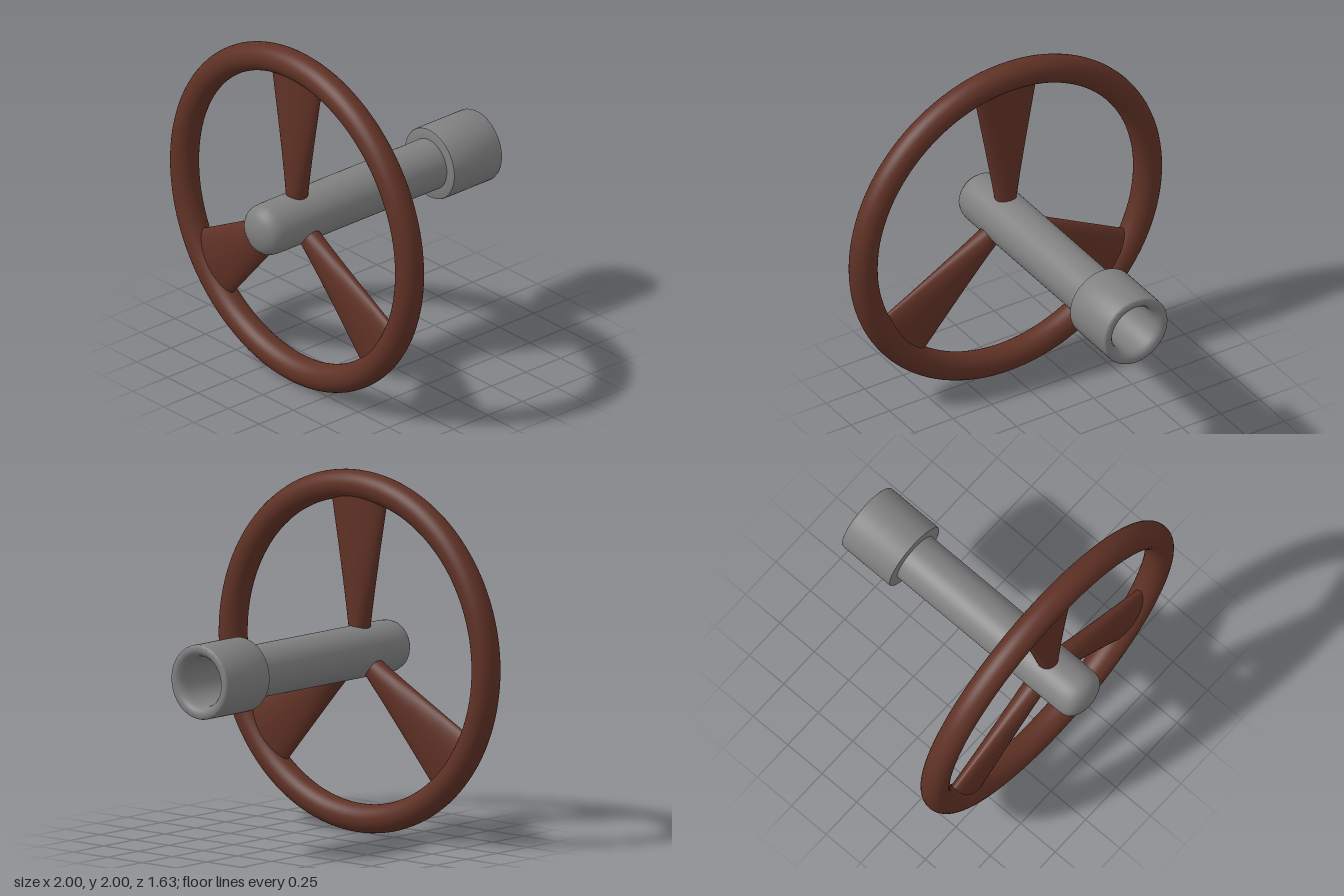
import * as THREE from 'three';
import { toCreasedNormals } from 'three/addons/utils/BufferGeometryUtils.js';

const brown = new THREE.MeshStandardMaterial({ color: 0x5f3125 });
brown.name = 'brown';
const grey = new THREE.MeshStandardMaterial({ color: 0x808080 });
grey.name = 'grey';

const HUB_Y = 1;
const WHEEL_Z = 0.5;

function addMesh(parent, name, geometry, material) {
  const mesh = new THREE.Mesh(geometry, material);
  mesh.name = name;
  parent.add(mesh);
  return mesh;
}

// Turned part along z from [radius, z] pairs
function turned(profile) {
  const points = profile.map(([r, z]) => new THREE.Vector2(r, z));
  const geometry = new THREE.LatheGeometry(points, 64);
  geometry.rotateX(Math.PI / 2);
  return toCreasedNormals(geometry, 0.7);
}

// Spoke with a rounded flat section that widens from hub to rim
function spokeGeometry() {
  const inner = 0.1, outer = 0.9;
  const geometry = new THREE.CylinderGeometry(1, 1, 1, 48, 4, true);
  const pos = geometry.attributes.position;
  for (let i = 0; i < pos.count; i++) {
    const t = pos.getY(i) + 0.5;
    const halfWidth = THREE.MathUtils.lerp(0.053, 0.208, t);
    const halfDepth = THREE.MathUtils.lerp(0.062, 0.05, t);
    pos.setXYZ(i, pos.getX(i) * halfWidth, THREE.MathUtils.lerp(inner, outer, t), pos.getZ(i) * halfDepth);
  }
  geometry.computeVertexNormals();
  return geometry;
}

export function createModel() {
  const model = new THREE.Group();
  model.name = 'steeringWheel';

  // Wheel: rim and three spokes
  const wheel = new THREE.Group();
  wheel.name = 'wheel';
  wheel.position.set(0, HUB_Y, WHEEL_Z);
  model.add(wheel);
  addMesh(wheel, 'rim', new THREE.TorusGeometry(0.921, 0.079, 32, 128), brown);
  const spoke = spokeGeometry();
  [['topSpoke', 0], ['leftSpoke', -128.3], ['rightSpoke', 128.3]].forEach(([name, degrees]) => {
    addMesh(wheel, name, spoke, brown).rotation.z = THREE.MathUtils.degToRad(degrees);
  });

  // Column: domed shaft and hollow socket
  const column = new THREE.Group();
  column.name = 'column';
  column.position.y = HUB_Y;
  model.add(column);
  addMesh(column, 'shaft', turned([
    [0.145, -0.47], [0.145, 0.7], [0.142, 0.735], [0.133, 0.762], [0.115, 0.783],
    [0.085, 0.799], [0.045, 0.811], [0, 0.816],
  ]), grey);
  addMesh(column, 'socket', turned([
    [0, -0.5], [0.125, -0.5], [0.135, -0.76], [0.143, -0.79], [0.158, -0.81], [0.175, -0.816],
    [0.195, -0.816], [0.202, -0.812], [0.206, -0.803], [0.206, -0.472], [0.203, -0.465],
    [0.196, -0.462], [0.13, -0.462],
  ]), grey);

  return model;
}
